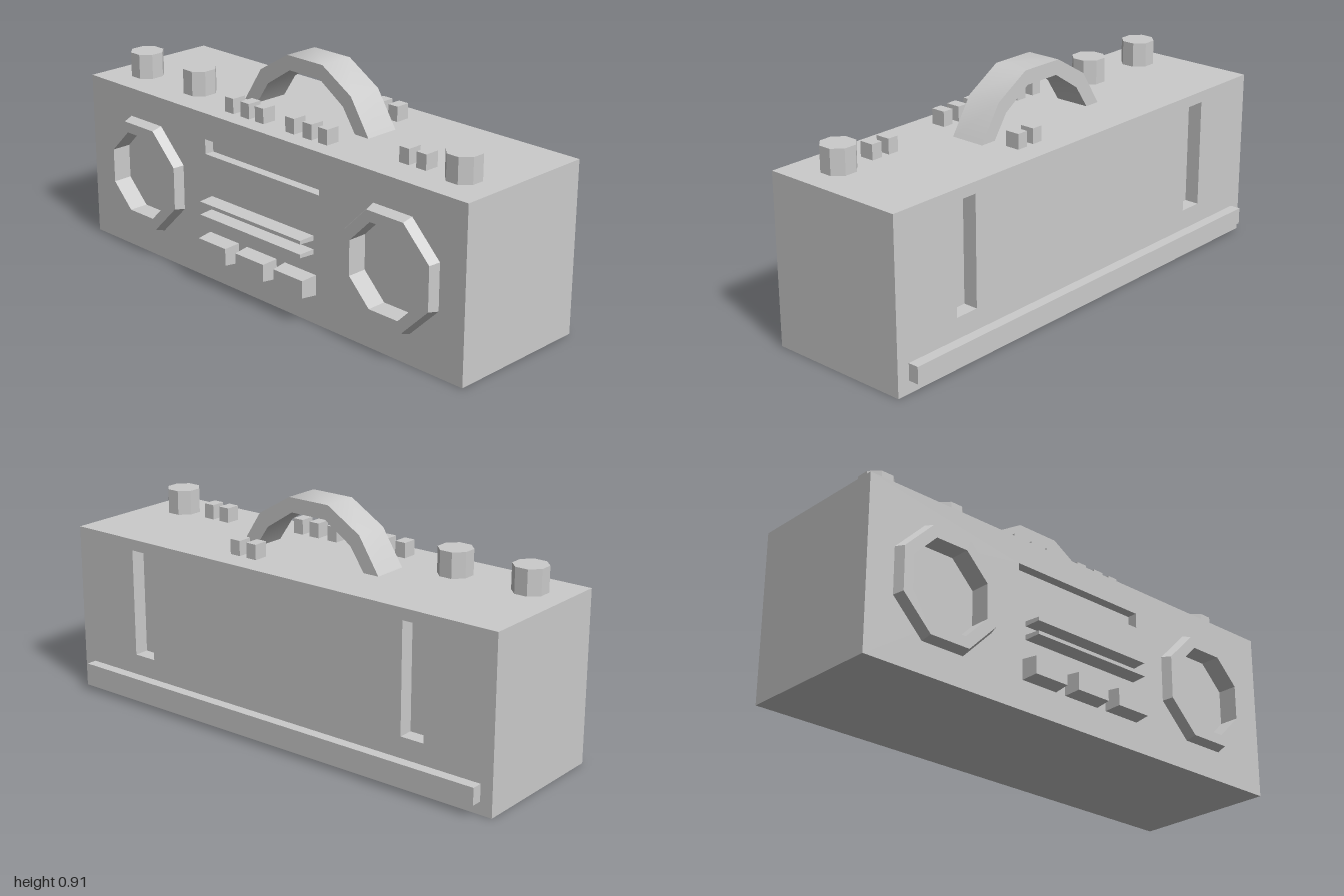
import * as THREE from 'three';
import { toCreasedNormals } from 'three/addons/utils/BufferGeometryUtils.js';

const grey = new THREE.MeshStandardMaterial({ color: 0xcccccc });
const facet = new THREE.MeshStandardMaterial({ color: 0xcccccc, flatShading: true });
const OCT = 1 / Math.cos(Math.PI / 8); // half flat width -> corner radius

export function createModel() {
  const model = new THREE.Group();

  const add = (name, geometry, material = grey) => {
    const mesh = new THREE.Mesh(geometry, material);
    mesh.name = name;
    model.add(mesh);
    return mesh;
  };

  // Box between two corners
  const box = (name, x0, x1, y0, y1, z0, z1) => {
    const g = new THREE.BoxGeometry(x1 - x0, y1 - y0, z1 - z0);
    g.translate((x0 + x1) / 2, (y0 + y1) / 2, (z0 + z1) / 2);
    return add(name, g);
  };

  // Box whose front face is slightly smaller than its base
  const taperedBox = (name, x0, x1, y0, y1, z0, z1, inset) => {
    const mesh = box(name, x0, x1, y0, y1, z0, z1);
    const p = mesh.geometry.attributes.position;
    for (let i = 0; i < p.count; i++) {
      if (p.getZ(i) < (z0 + z1) / 2) continue;
      p.setX(i, p.getX(i) - inset * Math.sign(p.getX(i) - (x0 + x1) / 2));
      p.setY(i, p.getY(i) - inset * Math.sign(p.getY(i) - (y0 + y1) / 2));
    }
    mesh.geometry.computeVertexNormals();
  };

  const rect = (x0, x1, y0, y1) => [[x0, y0], [x1, y0], [x1, y1], [x0, y1]];
  const octagon = (cx, cy, half) => Array.from({ length: 8 }, (_, i) => {
    const a = (i + 0.5) * Math.PI / 4;
    return [cx + half * OCT * Math.cos(a), cy + half * OCT * Math.sin(a)];
  });
  const toPoints = (list) => list.map(([x, y]) => new THREE.Vector2(x, y));

  // Flat panel with cut-outs
  const panel = (name, holes, z0, z1) => {
    const shape = new THREE.Shape(toPoints(rect(-1, 1, 0, 0.68)));
    for (const h of holes) shape.holes.push(new THREE.Path(toPoints(h)));
    const g = new THREE.ExtrudeGeometry(shape, { depth: z1 - z0, bevelEnabled: false });
    add(name, g.translate(0, 0, z0));
  };

  // Body: core between a front and a back panel with recesses
  const speakerX = 0.663, speakerY = 0.342;
  box('bodyCore', -1, 1, 0, 0.68, -0.25, 0.25);
  panel('frontPanel', [
    rect(-0.31, 0.305, 0.515, 0.575),
    octagon(-speakerX, speakerY, 0.166),
    octagon(speakerX, speakerY, 0.166),
  ], 0.25, 0.29);
  panel('backPanel', [
    rect(0.607, 0.707, 0.2, 0.635),
    rect(-0.707, -0.607, 0.2, 0.635),
  ], -0.31, -0.25);

  // Octagonal speaker rings
  for (const side of [-1, 1]) {
    const profile = [[0.221, 0], [0.208, 0.04], [0.166, 0.04], [0.166, 0]]
      .map(([r, h]) => new THREE.Vector2(r * OCT, h));
    const g = new THREE.LatheGeometry(profile, 8, Math.PI / 8).rotateX(Math.PI / 2);
    add('speakerRing', g, facet).position.set(side * speakerX, speakerY, 0.29);
  }

  // Front trim bars and keys
  for (const y of [0.277, 0.331]) {
    taperedBox('trimBar', -0.277, 0.277, y, y + 0.02, 0.29, 0.355, 0.003);
  }
  for (const x of [-0.21, 0, 0.208]) {
    taperedBox('frontKey', x - 0.082, x + 0.082, 0.117, 0.198, 0.29, 0.355, 0.006);
  }

  // Carrying handle
  const half = [[0.33, 0.68], [0.24, 0.82], [0.093, 0.908]];
  const inner = [[0.08, 0.85], [0.2, 0.772], [0.262, 0.68]];
  const flip = (list) => list.map(([x, y]) => [-x, y]).reverse();
  const arch = new THREE.Shape(toPoints([...half, ...flip(half), ...flip(inner), ...inner]));
  const handle = new THREE.ExtrudeGeometry(arch, { depth: 0.145, bevelEnabled: false });
  add('handle', toCreasedNormals(handle.translate(0, 0, -0.084), 0.7));

  // Octagonal knobs on top
  for (const x of [-0.847, -0.525, 0.838]) {
    const g = new THREE.CylinderGeometry(0.063 * OCT, 0.063 * OCT, 0.1, 8, 1, false, Math.PI / 8);
    add('knob', g, facet).position.set(x, 0.73, 0.124);
  }

  // Small buttons on top: rows of x centres with a z centre
  const rows = [
    [0.19, [-0.247, -0.16, -0.081, 0.083, 0.173, 0.253]],
    [0.131, [0.596, 0.676]],
    [-0.182, [0.173, 0.253]],
  ];
  for (const [z, xs] of rows) {
    for (const x of xs) box('topButton', x - 0.023, x + 0.023, 0.68, 0.74, z - 0.03, z + 0.03);
  }

  // Rail along the lower back
  box('backRail', -0.95, 0.947, 0.05, 0.117, -0.353, -0.31);

  return model;
}
